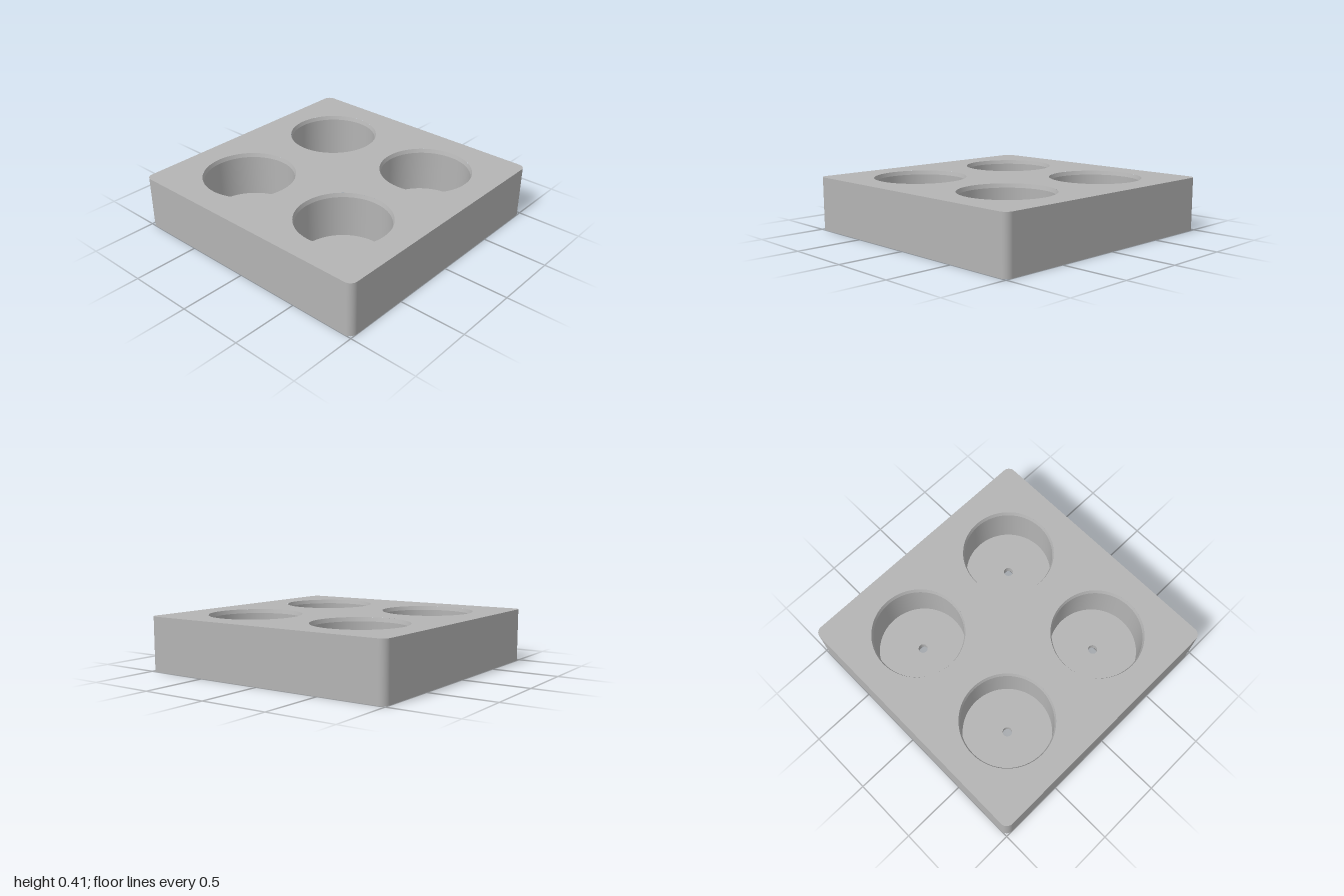
import * as THREE from 'three';

const H = 0.405;        // block height
const R = 0.055;        // corner radius
const FLOOR = 0.054;    // thickness under the wells
const PITCH = 0.464;    // well offset from the centre
const RIM = 0.345, WELL = 0.335, DRAIN = 0.035;
const SEG = 64;
const CORNERS = [[1, 1], [-1, 1], [-1, -1], [1, -1]];

// Rounded square with four round holes
function plateShape(holeRadius) {
  const shape = new THREE.Shape();
  CORNERS.forEach(([sx, sy], i) =>
    shape.absarc(sx * (1 - R), sy * (1 - R), R, i * Math.PI / 2, (i + 1) * Math.PI / 2));
  shape.closePath();
  for (const [sx, sy] of CORNERS) {
    const hole = new THREE.Path();
    hole.absarc(sx * PITCH, sy * PITCH, holeRadius, 0, Math.PI * 2, true);
    shape.holes.push(hole);
  }
  return new THREE.ShapeGeometry(shape, SEG);
}

// Outer wall with smooth rounded corners
function wallGeometry() {
  const pos = [], nor = [], idx = [];
  CORNERS.forEach(([sx, sz], c) => {
    for (let i = 0; i <= SEG; i++) {
      const a = (c + i / SEG) * Math.PI / 2;
      const nx = Math.cos(a), nz = Math.sin(a);
      for (const y of [0, H]) {
        pos.push(sx * (1 - R) + R * nx, y, sz * (1 - R) + R * nz);
        nor.push(nx, 0, nz);
      }
    }
  });
  const n = pos.length / 6;
  for (let i = 0; i < n; i++) {
    const a = 2 * i, b = 2 * ((i + 1) % n);
    idx.push(a, a + 1, b, b, a + 1, b + 1);
  }
  const geo = new THREE.BufferGeometry();
  geo.setAttribute('position', new THREE.Float32BufferAttribute(pos, 3));
  geo.setAttribute('normal', new THREE.Float32BufferAttribute(nor, 3));
  geo.setIndex(idx);
  return geo;
}

export function createModel() {
  const model = new THREE.Group();
  model.name = 'fourWellTray';
  const grey = new THREE.MeshStandardMaterial({ color: 0xb4b4b4 });
  grey.name = 'grey';

  const add = (parent, name, geo) => {
    const mesh = new THREE.Mesh(geo, grey);
    mesh.name = name;
    parent.add(mesh);
    return mesh;
  };

  add(model, 'outerWall', wallGeometry());
  add(model, 'topFace', plateShape(RIM).rotateX(-Math.PI / 2)).position.y = H;
  add(model, 'bottomFace', plateShape(DRAIN).rotateX(Math.PI / 2));

  // Well sections, separate so the edges between them stay sharp
  const profile = [[RIM, H], [WELL, H - 0.03], [WELL, FLOOR], [DRAIN, FLOOR], [DRAIN, 0]]
    .map(([x, y]) => new THREE.Vector2(x, y));
  const sections = ['rimChamfer', 'wellWall', 'wellFloor', 'drainHole']
    .map((name, i) => [name, new THREE.LatheGeometry(profile.slice(i, i + 2), SEG)]);

  for (const [sx, sz] of CORNERS) {
    const well = new THREE.Group();
    well.name = 'well';
    well.position.set(sx * PITCH, 0, sz * PITCH);
    sections.forEach(([name, geo]) => add(well, name, geo));
    model.add(well);
  }
  return model;
}
